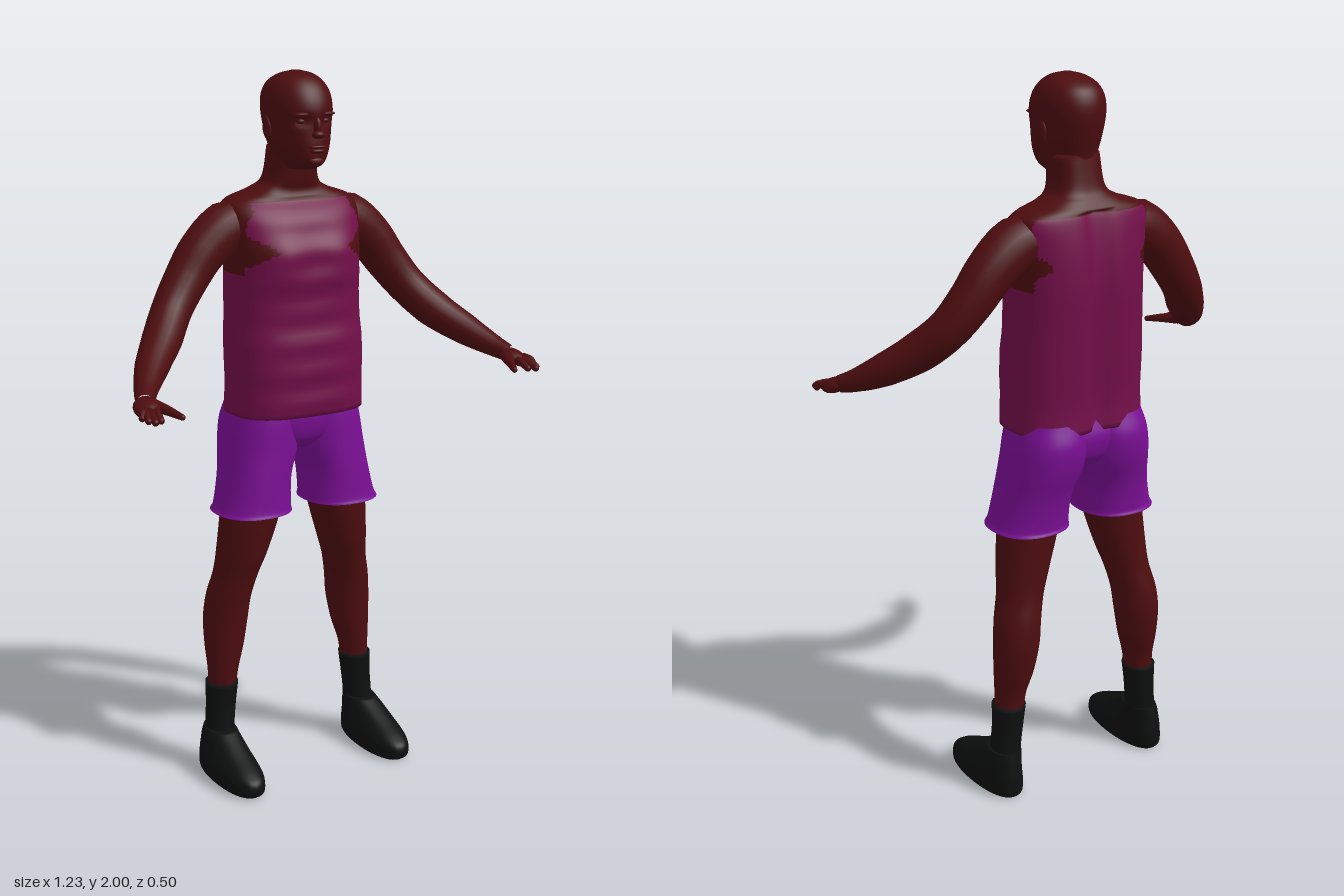
import * as THREE from 'three';

const mat = (name, color, side = THREE.FrontSide) => {
  const m = new THREE.MeshStandardMaterial({ color, side });
  m.name = name;
  return m;
};

// Smooth loft upward through rows of [y, centreX, halfWidth, zFront, zBack]
function loft(rows, { n = 40, steps = 6, power = 2, caps = true, shape = null } = {}) {
  const curve = (f) => new THREE.CatmullRomCurve3(rows.map(f), false, 'catmullrom', 0.5);
  const a = curve((r) => new THREE.Vector3(r[0], r[1], r[2]));
  const b = curve((r) => new THREE.Vector3(r[3], r[4], 0));
  const count = (rows.length - 1) * steps;
  const pos = [], idx = [];
  const sp = (v) => Math.sign(v) * Math.abs(v) ** (2 / power);
  for (let i = 0; i <= count; i++) {
    const p = a.getPoint(i / count), q = b.getPoint(i / count);
    for (let j = 0; j < n; j++) {
      const t = (j / n) * Math.PI * 2;
      const v = new THREE.Vector3(p.y + p.z * sp(Math.cos(t)), p.x,
        (q.x + q.y) / 2 + ((q.x - q.y) / 2) * sp(Math.sin(t)));
      if (shape) shape(v);
      pos.push(v.x, v.y, v.z);
      if (i < count) {
        const k = i * n + j, l = i * n + ((j + 1) % n);
        idx.push(k, k + n, l, l, k + n, l + n);
      }
    }
  }
  if (caps) {
    for (const [i, row] of [[0, rows[0]], [count, rows[rows.length - 1]]]) {
      const c = pos.length / 3;
      pos.push(row[1], row[0], (row[3] + row[4]) / 2);
      for (let j = 0; j < n; j++) {
        const k = i * n + j, l = i * n + ((j + 1) % n);
        idx.push(c, i ? l : k, i ? k : l);
      }
    }
  }
  const g = new THREE.BufferGeometry();
  g.setAttribute('position', new THREE.Float32BufferAttribute(pos, 3));
  g.setIndex(idx);
  g.computeVertexNormals();
  return g;
}

// Keep only the triangles whose centre passes a test
function pick(geo, test) {
  const p = geo.attributes.position, src = geo.index.array, out = [];
  for (let i = 0; i < src.length; i += 3) {
    const c = new THREE.Vector3();
    for (let k = 0; k < 3; k++) c.add(new THREE.Vector3().fromBufferAttribute(p, src[i + k]));
    if (test(c.divideScalar(3))) out.push(src[i], src[i + 1], src[i + 2]);
  }
  const g = geo.clone();
  g.setIndex(out);
  return g;
}

// Tapered tube through points [x, y, z, radius]
function limb(points, seg = 40, sides = 20) {
  const curve = new THREE.CatmullRomCurve3(points.map((p) => new THREE.Vector3(p[0], p[1], p[2])));
  const g = new THREE.TubeGeometry(curve, seg, 1, sides);
  const p = g.attributes.position, v = new THREE.Vector3();
  for (let i = 0; i <= seg; i++) {
    const c = curve.getPointAt(i / seg);
    const t = curve.getUtoTmapping(i / seg) * (points.length - 1);
    const k = Math.min(Math.floor(t), points.length - 2);
    const r = THREE.MathUtils.lerp(points[k][3], points[k + 1][3], t - k);
    for (let j = 0; j <= sides; j++) {
      const m = i * (sides + 1) + j;
      v.fromBufferAttribute(p, m).sub(c).multiplyScalar(r).add(c);
      p.setXYZ(m, v.x, v.y, v.z);
    }
  }
  return g;
}

export function createModel() {
  const model = new THREE.Group();
  const skin = mat('skin', 0x4d0d0f);
  const shirt = mat('shirt', 0x730f49, THREE.DoubleSide);
  const shorts = mat('shorts', 0x7b0f95, THREE.DoubleSide);
  const black = mat('black', 0x0e0f0f);
  const add = (name, geo, m) => {
    const mesh = new THREE.Mesh(geo, m);
    mesh.name = name;
    model.add(mesh);
    return mesh;
  };
  const ball = (name, m, x, y, z, sx, sy, sz) => {
    const mesh = add(name, new THREE.SphereGeometry(1, 20, 14), m);
    mesh.position.set(x, y, z);
    mesh.scale.set(sx, sy, sz);
    return mesh;
  };
  const bump = (d, w) => Math.exp(-(d * d) / (w * w));

  // Torso, with a groove along the spine and soft chest and belly folds
  const torso = loft([
    [1.07, 0, 0.197, 0.035, -0.242], [1.15, 0, 0.194, 0.036, -0.238], [1.25, 0, 0.195, 0.036, -0.242],
    [1.35, 0, 0.19, 0.026, -0.246], [1.45, 0, 0.188, 0.028, -0.25], [1.52, 0, 0.19, 0.022, -0.247],
    [1.58, 0, 0.196, 0.004, -0.24], [1.63, 0, 0.2, -0.025, -0.23], [1.66, 0, 0.18, -0.05, -0.22],
    [1.685, 0, 0.11, -0.06, -0.205], [1.715, 0, 0.073, -0.052, -0.187], [1.8, 0, 0.064, -0.04, -0.17],
  ], {
    n: 72, power: 2.7, shape: (v) => {
      if (v.y > 1.66) return;
      if (v.z < -0.1) v.z += 0.02 * bump(v.x, 0.03);
      else v.z += 0.012 * bump(Math.abs(v.x) - 0.09, 0.06) * bump(v.y - 1.5, 0.06)
        + 0.003 * Math.sin(v.y * 75) * bump(v.x, 0.15);
    },
  });
  const covered = ({ x, y, z }) => {
    const w = Math.abs(x);
    if (y > 1.655) return false;
    if (y > 1.46 && w > 0.15 && z < -0.045 && z > -0.19) return false;
    const notch = z > -0.1 ? 0.1 : 0.07;
    return w < 0.2 - notch * Math.max(0, 1 - Math.abs(y - 1.53) / 0.055);
  };
  add('tankTop', pick(torso, covered), shirt);
  add('neckAndShoulders', pick(torso, (c) => !covered(c)), skin);

  // Head
  add('head', loft([
    [1.742, 0, 0.04, -0.01, -0.15], [1.762, 0, 0.055, 0.028, -0.168], [1.8, 0, 0.072, 0.034, -0.174],
    [1.85, 0, 0.083, 0.03, -0.186], [1.9, 0, 0.089, 0.032, -0.195], [1.94, 0, 0.086, 0.02, -0.19],
    [1.97, 0, 0.071, -0.002, -0.172], [1.99, 0, 0.046, -0.032, -0.135], [2.0, 0, 0.012, -0.07, -0.095],
  ], {
    n: 64, power: 2.15, shape: (v) => {
      // eye sockets pressed into the face
      if (v.z > -0.06) v.z -= 0.014 * bump(Math.abs(v.x) - 0.037, 0.02) * bump(v.y - 1.873, 0.013);
    },
  }), skin);
  ball('noseBridge', skin, 0, 1.857, 0.03, 0.011, 0.027, 0.014);
  ball('noseTip', skin, 0, 1.838, 0.036, 0.018, 0.011, 0.016);
  ball('upperLip', skin, 0, 1.806, 0.034, 0.026, 0.006, 0.011);
  ball('lowerLip', skin, 0, 1.795, 0.033, 0.022, 0.007, 0.011);
  ball('chin', skin, 0, 1.767, 0.019, 0.026, 0.016, 0.017);

  // Pelvis joining the two legs of the shorts
  add('pelvis', loft([
    [0.965, 0, 0.07, -0.04, -0.2], [1.0, 0, 0.14, -0.01, -0.225],
    [1.05, 0, 0.18, 0.002, -0.235], [1.1, 0, 0.18, 0, -0.22],
  ], { power: 2.3 }), shorts);

  for (const s of [1, -1]) {
    const side = s > 0 ? 'left' : 'right';
    // Ear, brow and eye
    ball(side + 'Ear', skin, s * 0.085, 1.853, -0.09, 0.01, 0.033, 0.019).rotation.x = -0.15;
    ball(side + 'Brow', skin, s * 0.036, 1.891, 0.017, 0.025, 0.006, 0.012);
    ball(side + 'Eye', skin, s * 0.036, 1.872, 0.006, 0.014, 0.008, 0.01);

    // Arm
    add(side + 'Arm', limb([
      [s * 0.1, 1.6, -0.135, 0.05], [s * 0.19, 1.583, -0.132, 0.074], [s * 0.262, 1.53, -0.13, 0.066],
      [s * 0.32, 1.455, -0.122, 0.06], [s * 0.375, 1.382, -0.098, 0.055], [s * 0.43, 1.318, -0.045, 0.054],
      [s * 0.495, 1.262, 0.025, 0.045], [s * 0.545, 1.222, 0.095, 0.031], [s * 0.568, 1.204, 0.14, 0.024],
    ]), skin);

    // Hand: palm, four fingers and thumb
    const palm = ball(side + 'Palm', skin, s * 0.574, 1.197, 0.16, 0.034, 0.02, 0.047);
    palm.rotation.set(0.3, s * 0.15, s * -0.25);
    [[0.607, 1.183, 0.205], [0.6, 1.18, 0.228], [0.588, 1.178, 0.242], [0.568, 1.178, 0.232]].forEach((tip, i) => {
      const x = 0.597 - i * 0.012;
      add(side + 'Finger' + (i + 1), limb([[s * x, 1.195, 0.17, 0.013],
        [s * (x + tip[0]) / 2, 1.192, 0.2, 0.011], [s * tip[0], tip[1], tip[2], 0.009]], 8, 10), skin);
      ball(side + 'Fingertip' + (i + 1), skin, s * tip[0], tip[1], tip[2], 0.009, 0.009, 0.009);
    });
    add(side + 'Thumb', limb([[s * 0.555, 1.2, 0.145, 0.018], [s * 0.533, 1.192, 0.195, 0.013],
      [s * 0.514, 1.182, 0.242, 0.008]], 10, 10), skin);
    ball(side + 'ThumbTip', skin, s * 0.514, 1.182, 0.242, 0.008, 0.008, 0.008);

    // Shorts leg, open at the hem
    add(side + 'ShortsLeg', loft([
      [0.79, s * 0.141, 0.111, 0.016, -0.212], [0.81, s * 0.137, 0.105, 0.011, -0.208],
      [0.89, s * 0.126, 0.097, 0.008, -0.22], [0.97, s * 0.108, 0.104, 0.004, -0.244],
      [1.04, s * 0.1, 0.101, 0.002, -0.252], [1.1, s * 0.092, 0.094, -0.005, -0.232],
    ], { power: 2.3, caps: false }), shorts);

    // Bare leg
    add(side + 'Leg', loft([
      [0.25, s * 0.224, 0.04, -0.09, -0.172], [0.31, s * 0.22, 0.044, -0.085, -0.178],
      [0.38, s * 0.212, 0.056, -0.08, -0.196], [0.46, s * 0.205, 0.064, -0.075, -0.207],
      [0.53, s * 0.197, 0.064, -0.066, -0.204], [0.6, s * 0.18, 0.064, -0.052, -0.192],
      [0.67, s * 0.164, 0.073, -0.034, -0.188], [0.79, s * 0.14, 0.086, -0.018, -0.188],
      [0.95, s * 0.115, 0.088, -0.015, -0.2],
    ]), skin);

    // Sock and shoe
    add(side + 'Sock', loft([
      [0.09, s * 0.237, 0.04, -0.075, -0.18], [0.15, s * 0.234, 0.041, -0.08, -0.176],
      [0.21, s * 0.229, 0.043, -0.083, -0.177], [0.272, s * 0.225, 0.047, -0.08, -0.181],
    ]), black);
    add(side + 'Shoe', loft([
      [0.002, s * 0.242, 0.054, 0.1, -0.185], [0.015, s * 0.243, 0.063, 0.115, -0.195],
      [0.045, s * 0.243, 0.063, 0.112, -0.196], [0.065, s * 0.243, 0.06, 0.085, -0.194],
      [0.09, s * 0.242, 0.054, 0.03, -0.19], [0.115, s * 0.24, 0.048, -0.022, -0.186],
      [0.135, s * 0.237, 0.042, -0.06, -0.182],
    ], { power: 2.2 }), black);
  }
  return model;
}
